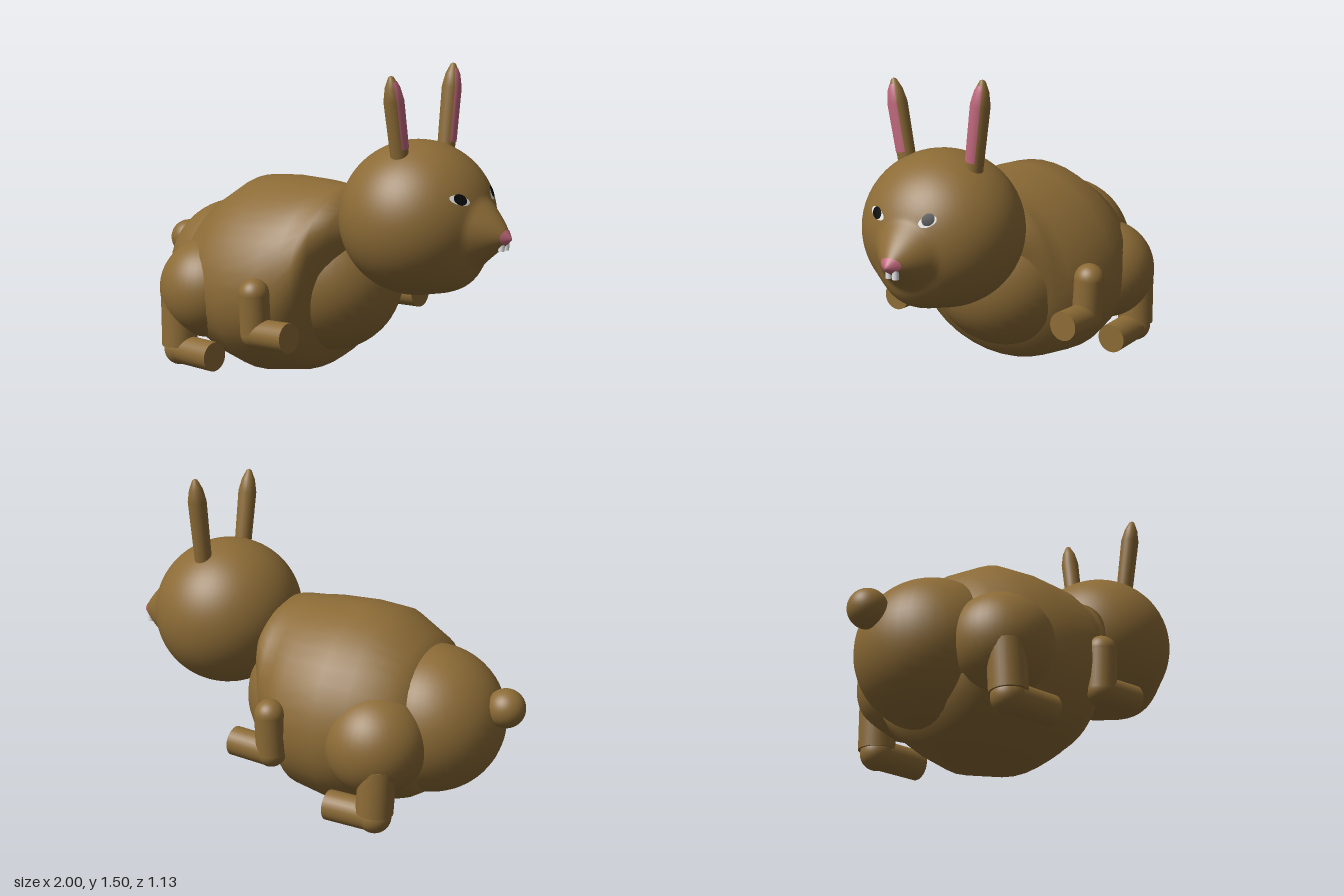
import * as THREE from 'three';
import { mergeVertices } from 'three/addons/utils/BufferGeometryUtils.js';

const material = (name, color) => Object.assign(new THREE.MeshStandardMaterial({ color }), { name });
const V = (x, y, z) => new THREE.Vector3(x, y, z);

// Head: a sphere with a pointed snout and a fuller chin, described by radius per direction
const headCentre = V(0.53, 0.83, -0.055);
const snoutDir = V(1.0, 0.775, -0.107).sub(headCentre).normalize();
const chinDir = V(0.74, -0.67, 0).normalize();
function headRadius(dir) {
  const t = Math.max(0, 1 - dir.angleTo(snoutDir) / 0.46);
  const c = Math.max(0, 1 - dir.angleTo(chinDir) / 0.6);
  const chin = c * c * (3 - 2 * c);
  return 0.352 + 0.125 * Math.pow(t, 1.3) + 0.035 * chin * (1 - t) + 0.013 * dir.z * dir.z;
}
function headSurfaceX(y, z) {
  let lo = headCentre.x, hi = 1.1;
  for (let i = 0; i < 30; i++) {
    const mid = (lo + hi) / 2;
    const d = V(mid, y, z).sub(headCentre);
    const len = d.length();
    if (len < headRadius(d.normalize())) lo = mid; else hi = mid;
  }
  return lo;
}

function headGeometry() {
  let g = new THREE.SphereGeometry(1, 64, 64);
  g.deleteAttribute('uv');
  g.deleteAttribute('normal');
  g = mergeVertices(g);
  const q = new THREE.Quaternion().setFromUnitVectors(V(0, 1, 0), snoutDir);
  const p = g.attributes.position;
  for (let i = 0; i < p.count; i++) {
    const d = V(0, 0, 0).fromBufferAttribute(p, i).normalize().applyQuaternion(q);
    d.multiplyScalar(headRadius(d)).add(headCentre);
    p.setXYZ(i, d.x, d.y, d.z);
  }
  g.computeVertexNormals();
  return g;
}

// Oval patch laid over the face, looking along +x
function facePatch(y, z, halfY, halfZ, tilt, lift) {
  const g = new THREE.RingGeometry(0.001, 1, 28, 5);
  const p = g.attributes.position;
  for (let i = 0; i < p.count; i++) {
    const u = p.getX(i) * halfZ, v = p.getY(i) * halfY;
    const pz = z - (u * Math.cos(tilt) - v * Math.sin(tilt));
    const py = y + u * Math.sin(tilt) + v * Math.cos(tilt);
    p.setXYZ(i, headSurfaceX(py, pz) + lift, py, pz);
  }
  g.computeVertexNormals();
  return g;
}

// Trunk: elliptical sections along x as [x, bottom, top, half width]
function trunkGeometry() {
  const sections = [
    [-0.62, 0.3, 0.6, 0.2], [-0.605, 0.14, 0.73, 0.34], [-0.52, 0.09, 0.85, 0.43],
    [-0.35, 0.04, 0.95, 0.495], [-0.2, 0.01, 0.962, 0.515], [0, 0.045, 0.957, 0.49],
    [0.08, 0.1, 0.95, 0.43], [0.15, 0.24, 0.945, 0.39], [0.2, 0.5, 0.935, 0.33],
    [0.25, 0.62, 0.88, 0.24], [0.28, 0.68, 0.82, 0.12],
  ];
  const n = 40, pos = [], idx = [];
  for (const [x, lo, hi, w] of sections) {
    for (let j = 0; j < n; j++) {
      const a = (j / n) * Math.PI * 2, s = Math.sin(a);
      pos.push(x, (lo + hi) / 2 + ((hi - lo) / 2) * s, w * Math.cos(a) * (1 - 0.1 * s));
    }
  }
  for (let i = 0; i < sections.length - 1; i++) {
    for (let j = 0; j < n; j++) {
      const k = (j + 1) % n;
      const a = i * n + j, b = a + n, c = (i + 1) * n + k, d = i * n + k;
      idx.push(a, b, c, a, c, d);
    }
  }
  const g = new THREE.BufferGeometry();
  g.setAttribute('position', new THREE.Float32BufferAttribute(pos, 3));
  g.setIndex(idx);
  g.computeVertexNormals();
  return g;
}

export function createModel() {
  const fur = material('brownFur', 0x8c6b36);
  const pink = material('pink', 0xc0687c);
  const white = material('white', 0xeeeeee);
  const black = material('black', 0x0a0a0a);
  const root = new THREE.Group();
  root.name = 'rabbit';

  const add = (parent, name, geometry, mat) => {
    const m = new THREE.Mesh(geometry, mat);
    m.name = name;
    parent.add(m);
    return m;
  };
  const ball = (parent, name, c, r) =>
    add(parent, name, new THREE.SphereGeometry(r, 40, 28), fur).position.copy(c);
  const limb = (parent, name, a, b, r) => {
    const m = add(parent, name, new THREE.CylinderGeometry(r, r, a.distanceTo(b), 28), fur);
    m.position.copy(a).add(b).multiplyScalar(0.5);
    m.quaternion.setFromUnitVectors(V(0, 1, 0), b.clone().sub(a).normalize());
  };

  // Body masses
  add(root, 'trunk', trunkGeometry(), fur);
  ball(root, 'chest', V(0.02, 0.485, -0.04), 0.35);
  ball(root, 'rump', V(-0.55, 0.465, 0), 0.345);
  ball(root, 'tail', V(-0.91, 0.575, 0.01), 0.09);

  // Legs, the right front one held slightly higher
  for (const [side, s, lift, armZ] of [['left', 1, 0, 0.475], ['right', -1, 0.045, -0.49]]) {
    const front = new THREE.Group();
    front.name = side + 'FrontLeg';
    const shoulder = V(0.02, 0.49 + lift, armZ + s * 0.01), elbow = V(0.02, 0.305 + lift, armZ);
    ball(front, 'shoulder', shoulder, 0.07);
    limb(front, 'upperLeg', shoulder, elbow, 0.07);
    ball(front, 'elbow', elbow, 0.07);
    limb(front, 'paw', elbow, V(0.222, 0.315 + lift, armZ - s * 0.005), 0.068);
    root.add(front);

    const hind = new THREE.Group();
    hind.name = side + 'HindLeg';
    const heel = V(-0.5, 0.14, s * 0.46);
    ball(hind, 'haunch', V(-0.43, 0.43, s * 0.325), 0.24);
    limb(hind, 'lowerLeg', V(-0.5, 0.16, s * 0.462), V(-0.51, 0.38, s * 0.455), 0.085);
    ball(hind, 'heel', heel, 0.076);
    limb(hind, 'foot', heel, V(-0.265, 0.14, s * 0.46), 0.07);
    root.add(hind);
  }

  // Head, eyes, nose and teeth
  const head = new THREE.Group();
  head.name = 'head';
  root.add(head);
  add(head, 'skull', headGeometry(), fur);
  add(head, 'leftEyeWhite', facePatch(0.95, 0.06, 0.021, 0.048, -0.25, 0.004), white);
  add(head, 'leftPupil', facePatch(0.953, 0.06, 0.024, 0.031, -0.2, 0.007), black);
  add(head, 'rightEyeWhite', facePatch(0.952, -0.197, 0.023, 0.036, 0.4, 0.004), white);
  add(head, 'rightPupil', facePatch(0.961, -0.2, 0.025, 0.025, 0.2, 0.007), black);
  add(head, 'nose', facePatch(0.783, -0.105, 0.033, 0.048, 0, 0.003), pink);
  for (const z of [-0.09, -0.125]) {
    add(head, 'tooth', new THREE.CylinderGeometry(0.015, 0.015, 0.05, 16), white).position.set(0.96, 0.747, z);
  }

  // Ears: rounded stalks with pointed tips and a pink inner strip
  const ears = [
    ['leftEar', V(0.56, 1.06, 0.108), V(0.56, 1.477, 0.187)],
    ['rightEar', V(0.55, 1.06, -0.226), V(0.55, 1.515, -0.282)],
  ];
  for (const [name, base, tip] of ears) {
    const len = base.distanceTo(tip);
    const ear = new THREE.Group();
    ear.name = name;
    const outline = [[0.04, 0], [0.044, len - 0.11], [0.032, len - 0.05], [0.012, len - 0.006], [0, len]];
    add(ear, 'earShell', new THREE.LatheGeometry(outline.map(([r, y]) => new THREE.Vector2(r, y)), 24), fur);
    const strip = [[0.044, 0.1], [0.046, len - 0.11], [0.034, len - 0.05], [0.022, len - 0.025]];
    add(ear, 'innerEar', new THREE.LatheGeometry(
      strip.map(([r, y]) => new THREE.Vector2(r + 0.001, y)), 10, Math.PI / 2 - 0.6, 1.2), pink);
    ear.position.copy(base);
    ear.quaternion.setFromUnitVectors(V(0, 1, 0), tip.clone().sub(base).normalize());
    head.add(ear);
  }
  return root;
}
